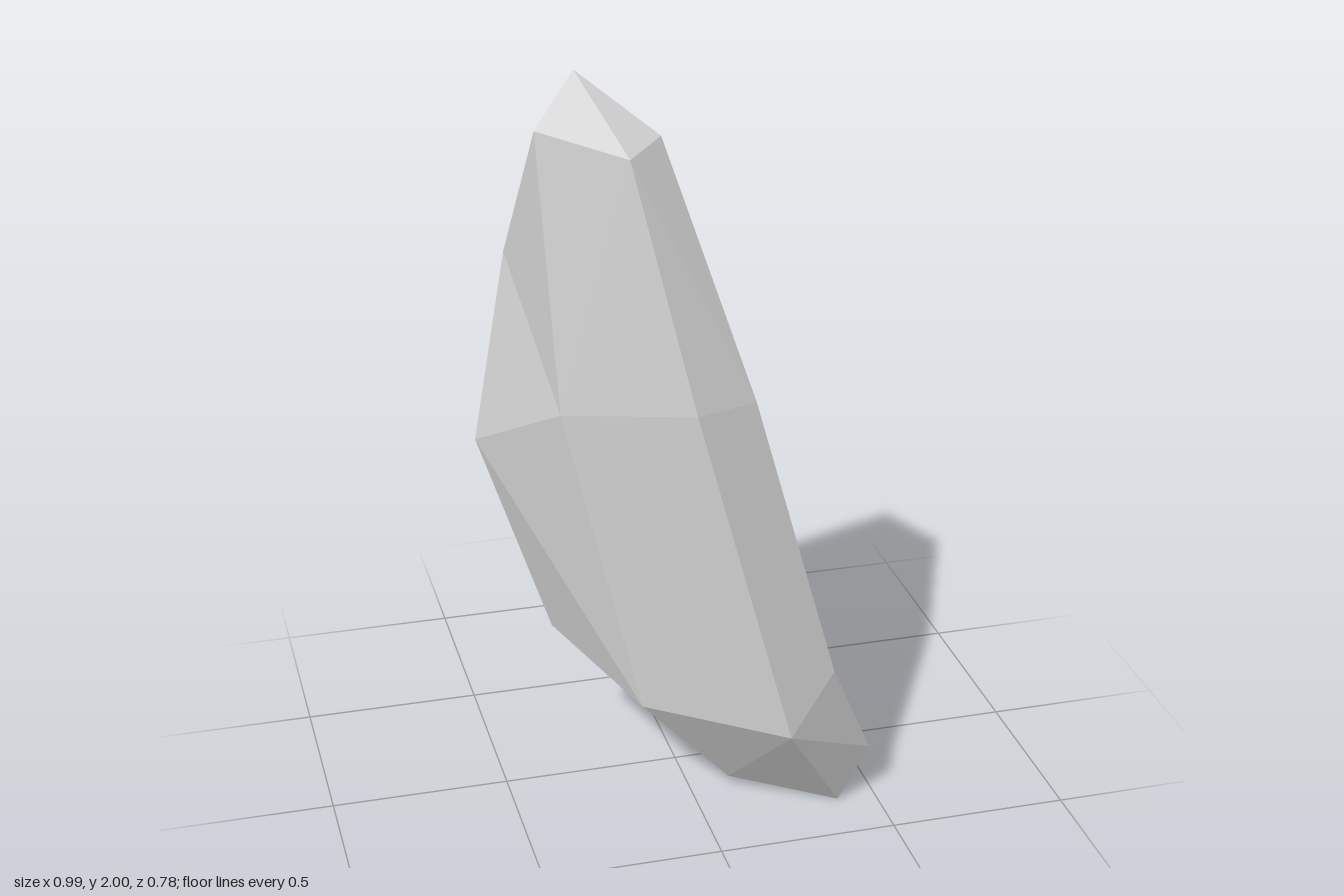
import * as THREE from 'three';

const v = (x, y, z) => new THREE.Vector3(x, y, z);

// Shared corners
const tip = v(-0.2, 2, -0.31);
const heel = v(0.04, 0.19, -0.04);
const backCorner = v(-0.32, 0.39, -0.18);
const backTop = v(-0.39, 1.47, -0.39);
const side = v(-0.5, 0.94, -0.32);
const flank = v(-0.37, 0.81, -0.335);
const waist = v(0.2, 0.62, -0.05);
const leftKnee = v(0.38, 0.4, 0.3), leftBend = v(0.2, 1.16, 0.11);
const frontKnee = v(0.23, 0.26, 0.39), frontBend = v(0.02, 1.16, 0.165);
const rightKnee = v(-0.13, 0.27, 0.135), rightBend = v(-0.305, 1.1, -0.07);

// Ridges from base to tip, running around the shard; a repeated corner closes a strip to a triangle
const ridges = [
  [v(0.11, 0.03, 0.18), rightKnee, rightKnee, rightBend, rightBend, v(-0.32, 1.85, -0.27), tip],
  [v(0.39, 0, 0.33), frontKnee, frontKnee, frontBend, frontBend, v(-0.1, 1.81, -0.085), tip],
  [v(0.49, 0.14, 0.3), leftKnee, leftKnee, leftBend, leftBend, v(0, 1.85, -0.145), tip],
  [v(0.35, 0.13, 0.11), v(0.38, 0.3, 0.06), waist, waist, v(0.165, 1.15, -0.1), v(0.02, 1.61, -0.206), tip],
  [heel, v(0.1, 0.34, -0.12), v(-0.175, 0.51, -0.218), v(-0.2, 1.06, -0.305), v(-0.04, 1.25, -0.275), v(-0.17, 1.64, -0.34), tip],
  [heel, backCorner, flank, flank, backTop, backTop, tip],
  [heel, backCorner, side, side, backTop, backTop, tip],
];

function createShardGeometry() {
  const corners = [];
  const triangle = (a, b, c) => {
    if (a !== b && b !== c && c !== a) corners.push(a, b, c);
  };
  // Split each four-sided facet along the diagonal that bulges outward
  const facet = (a, b, c, d) => {
    const normal = b.clone().sub(a).cross(c.clone().sub(a));
    if (normal.dot(d.clone().sub(a)) <= 0) {
      triangle(a, b, c);
      triangle(a, c, d);
    } else {
      triangle(a, b, d);
      triangle(b, c, d);
    }
  };

  // Side facets between neighbouring ridges
  ridges.forEach((ridge, i) => {
    const next = ridges[(i + 1) % ridges.length];
    for (let j = 0; j < ridge.length - 1; j++) {
      facet(ridge[j], next[j], next[j + 1], ridge[j + 1]);
    }
  });

  // Underside, fanned from the lowest corner
  const base = ridges.map((ridge) => ridge[0]);
  const [right, lowest, left, back] = base;
  triangle(lowest, back, left);
  triangle(lowest, heel, back);
  triangle(lowest, right, heel);

  const geometry = new THREE.BufferGeometry().setFromPoints(corners);
  geometry.computeVertexNormals();
  return geometry;
}

export function createModel() {
  const group = new THREE.Group();
  group.name = 'rock';
  const material = new THREE.MeshStandardMaterial({ color: 0xcccccc, flatShading: true });
  const shard = new THREE.Mesh(createShardGeometry(), material);
  shard.name = 'rockShard';
  group.add(shard);
  return group;
}
